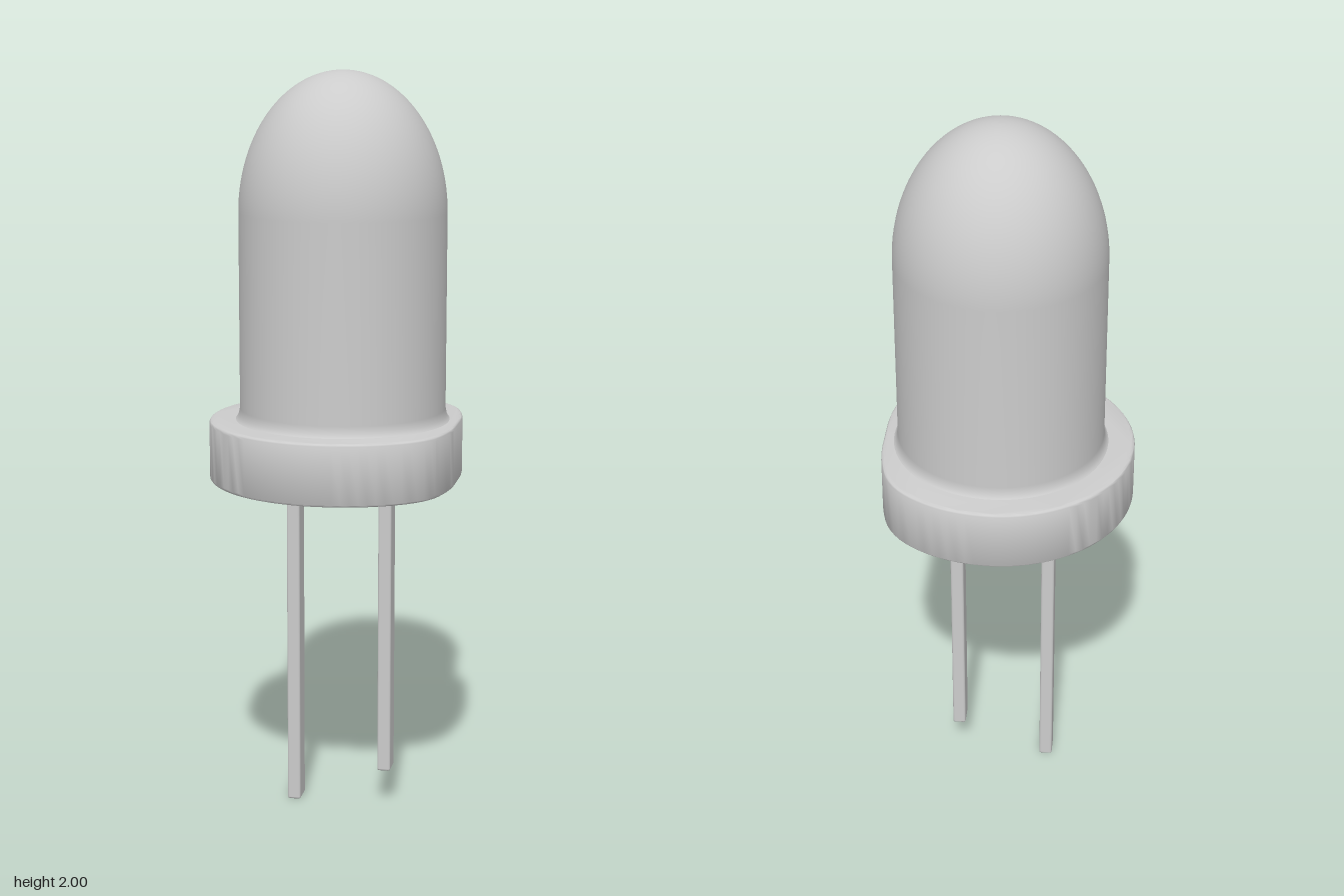
import * as THREE from 'three';
import { toCreasedNormals } from 'three/addons/utils/BufferGeometryUtils.js';
import { RoundedBoxGeometry } from 'three/addons/geometries/RoundedBoxGeometry.js';

const CENTRE_X = 0.021;
const material = new THREE.MeshStandardMaterial({ color: 0xcccccc });

function addPart(group, name, geometry, x, y) {
  const mesh = new THREE.Mesh(geometry, material);
  mesh.name = name;
  mesh.position.set(x, y, 0);
  group.add(mesh);
}

// Bulb: small fillet at the foot, straight wall, elongated dome
function bulbGeometry() {
  const radius = 0.275, domeStart = 1.63, top = 2;
  const profile = [[0.291, 1.076], [0.284, 1.082], [0.279, 1.092], [radius, 1.11]]
    .map(([r, y]) => new THREE.Vector2(r, y));
  const steps = 28;
  for (let i = 0; i <= steps; i++) {
    const a = (i / steps) * Math.PI / 2;
    profile.push(new THREE.Vector2(
      i === steps ? 0 : radius * Math.cos(a),
      domeStart + (top - domeStart) * Math.sin(a)));
  }
  return new THREE.LatheGeometry(profile, 72);
}

// Flange: round rim with a softly flattened +x side
function flangeGeometry() {
  const half = [[0.312, 0.07], [0.303, 0.14], [0.28, 0.214], [0.232, 0.275], [0.127, 0.335], [0, 0.357]];
  for (let i = 1; i < 6; i++) {
    const a = Math.PI / 2 + (i / 6) * Math.PI / 2;
    half.push([0.357 * Math.cos(a), 0.357 * Math.sin(a)]);
  }
  const mirrored = half.map(([x, y]) => [x, -y]).reverse();
  const points = [[0.313, 0], ...half, [-0.357, 0], ...mirrored]
    .map(([x, y]) => new THREE.Vector3(x, y, 0));
  const outline = new THREE.CatmullRomCurve3(points, true).getSpacedPoints(96).slice(0, -1);
  const bevel = 0.01;
  const geometry = new THREE.ExtrudeGeometry(
    new THREE.Shape(outline.map((p) => new THREE.Vector2(p.x, p.y))), {
      depth: 0.165 - 2 * bevel, bevelThickness: bevel, bevelSize: bevel,
      bevelOffset: -bevel, bevelSegments: 4,
    });
  geometry.rotateX(-Math.PI / 2).translate(0, bevel, 0);
  return toCreasedNormals(geometry, 0.6);
}

export function createModel() {
  const group = new THREE.Group();
  group.name = 'lightEmittingDiode';

  addPart(group, 'bulb', bulbGeometry(), CENTRE_X, 0);
  addPart(group, 'flange', flangeGeometry(), CENTRE_X, 0.915);

  // Flat wire leads of unequal length, running up into the flange
  const leadTop = 0.94;
  for (const [name, x, bottom] of [['longLead', -0.11, 0], ['shortLead', 0.142, 0.1]]) {
    const height = leadTop - bottom;
    addPart(group, name, new RoundedBoxGeometry(0.036, height, 0.066, 2, 0.006), x, bottom + height / 2);
  }
  return group;
}
